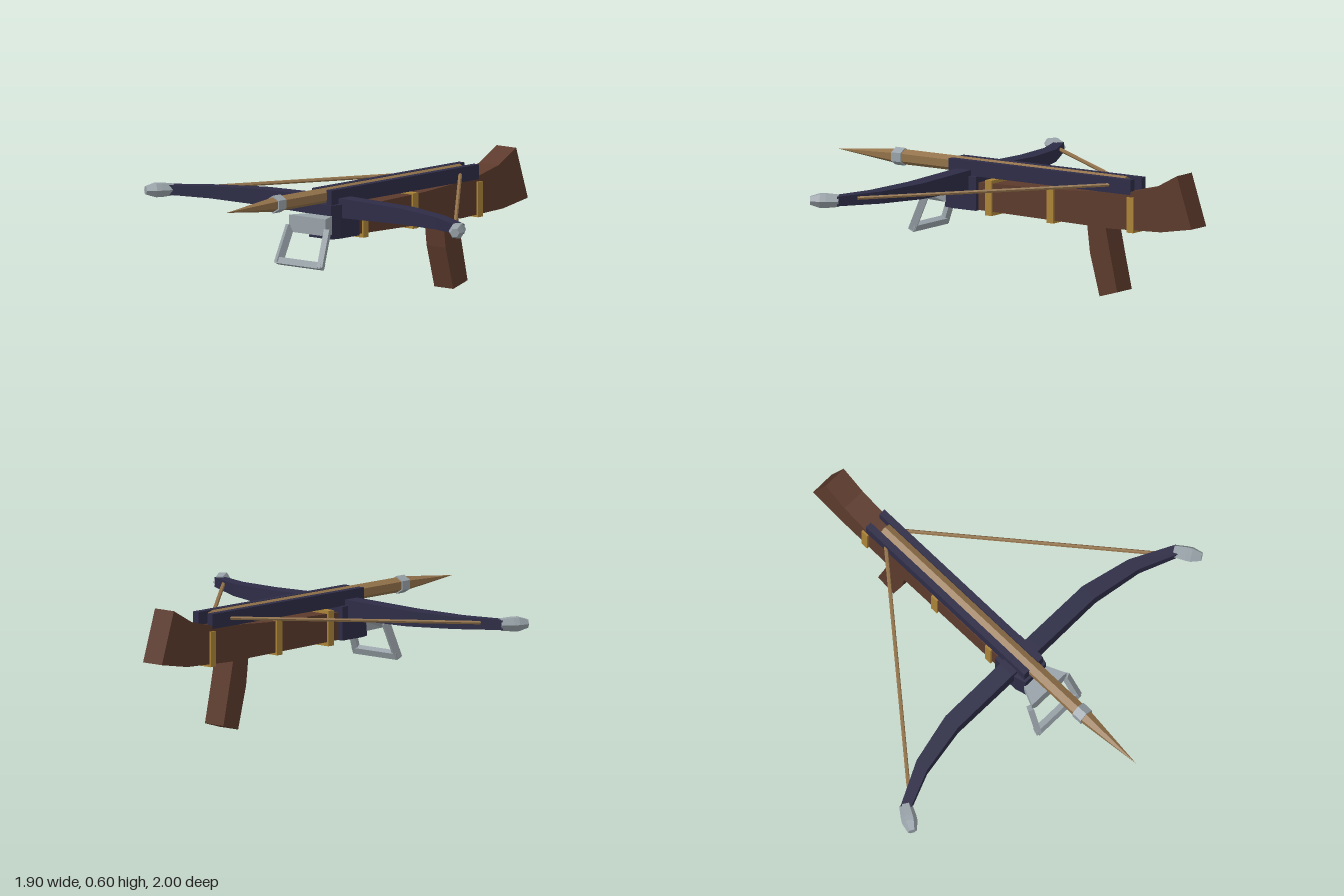
import * as THREE from 'three';

const paint = (name, color) => {
  const m = new THREE.MeshStandardMaterial({ color });
  m.name = name;
  m.flatShading = true;
  return m;
};

export function createModel() {
  const wood = paint('dark wood', 0x5c3a2c);
  const navy = paint('navy metal', 0x2d2c46);
  const steel = paint('steel', 0x98a2a8);
  const brass = paint('brass', 0xa98237);
  const tan = paint('pale wood', 0x92724a);

  const model = new THREE.Group();
  model.name = 'crossbow';
  const add = (name, geometry, material, x = 0, y = 0, z = 0) => {
    const mesh = new THREE.Mesh(geometry, material);
    mesh.name = name;
    mesh.position.set(x, y, z);
    model.add(mesh);
    return mesh;
  };

  // Side profile of [z, y] points, extruded across x
  const slab = (points, width) => {
    const shape = new THREE.Shape(points.map(([z, y]) => new THREE.Vector2(z, y)));
    return new THREE.ExtrudeGeometry(shape, { depth: width, bevelEnabled: false })
      .translate(0, 0, -width / 2).rotateY(-Math.PI / 2);
  };

  // Skin over rings of points, with both ends capped
  const loft = (rings) => {
    const pos = [], n = rings[0].length;
    const tri = (a, b, c) => pos.push(...a, ...b, ...c);
    for (let i = 0; i < rings.length - 1; i++) {
      for (let j = 0; j < n; j++) {
        const k = (j + 1) % n;
        tri(rings[i][j], rings[i][k], rings[i + 1][k]);
        tri(rings[i][j], rings[i + 1][k], rings[i + 1][j]);
      }
    }
    const first = rings[0], last = rings[rings.length - 1];
    for (let j = 1; j < n - 1; j++) {
      tri(first[0], first[j + 1], first[j]);
      tri(last[0], last[j], last[j + 1]);
    }
    const g = new THREE.BufferGeometry();
    g.setAttribute('position', new THREE.Float32BufferAttribute(pos, 3));
    g.computeVertexNormals();
    return g;
  };

  // Turn a y-aligned part so that it spans from a to b
  const span = (name, a, b, makeGeometry, material) => {
    const from = new THREE.Vector3(...a), to = new THREE.Vector3(...b);
    const dir = to.clone().sub(from);
    const mesh = add(name, makeGeometry(dir.length()), material);
    mesh.position.copy(from).add(to).multiplyScalar(0.5);
    mesh.quaternion.setFromUnitVectors(new THREE.Vector3(0, 1, 0), dir.normalize());
    return mesh;
  };

  // Stock and grip
  add('stock', slab([
    [0.2, 0.335], [0.2, 0.46], [-0.3, 0.473], [-0.64, 0.497], [-0.8, 0.535],
    [-0.92, 0.6], [-1, 0.362], [-0.83, 0.333], [-0.55, 0.322],
  ], 0.116), wood);
  add('grip', slab([
    [-0.42, 0.34], [-0.437, 0.2], [-0.49, 0.005], [-0.588, 0.033], [-0.548, 0.21], [-0.52, 0.34],
  ], 0.114), wood);

  // Brass bands round the stock
  for (const z of [0.12, -0.222, -0.665]) {
    add('band', new THREE.BoxGeometry(0.134, 0.162, 0.036), brass, 0, 0.396, z);
  }

  // Paired rails beside the bolt
  for (const s of [-1, 1]) {
    add('rail', new THREE.BoxGeometry(0.032, 0.068, 1.01), navy, s * 0.044, 0.521, -0.158);
  }

  // Block that holds the bow, narrowing to the front
  add('bowMount', loft([[0.18, 0.08], [0.31, 0.08], [0.36, 0.066]].map(([z, w]) => [
    [-w, 0.333, z], [w, 0.333, z], [w, 0.488, z], [-w, 0.488, z],
  ])), navy);

  // Bow: [x, back z, front z, half height], mirrored
  const half = [[0.09, 0.22, 0.3, 0.044], [0.44, 0.22, 0.3, 0.036],
    [0.68, 0.275, 0.342, 0.028], [0.885, 0.376, 0.376, 0.022]];
  const ring = ([x, back, front, h], s) => {
    const tip = x > 0.8; // tip is cut square to the curve
    const x2 = tip ? x - 0.025 : x, z2 = tip ? 0.416 : front;
    return [[s * x, 0.47 - h, back], [s * x, 0.47 + h, back],
      [s * x2, 0.47 + h, z2], [s * x2, 0.47 - h, z2]];
  };
  add('bow', loft([
    ...half.slice().reverse().map((p) => ring(p, -1)), ...half.map((p) => ring(p, 1)),
  ]), navy);

  // Steel bow tips and the drawn string
  for (const s of [-1, 1]) {
    span('bowTip', [s * 0.862, 0.47, 0.385], [s * 0.93, 0.47, 0.495], (len) =>
      new THREE.LatheGeometry([
        [0, -len / 2], [0.03, -len / 2], [0.036, -len * 0.05], [0.036, len * 0.15],
        [0.021, len / 2], [0, len / 2],
      ].map(([r, y]) => new THREE.Vector2(r, y)), 6), steel);
    span('string', [s * 0.79, 0.477, 0.332], [0, 0.525, -0.605],
      (len) => new THREE.CylinderGeometry(0.009, 0.009, len, 6), tan);
  }

  // Bolt: hexagonal shaft, collar and point
  const along = (g) => g.rotateX(Math.PI / 2);
  add('boltShaft', along(new THREE.CylinderGeometry(0.035, 0.035, 1.25, 6)), tan, 0, 0.525, 0.025);
  add('boltCollar', along(new THREE.CylinderGeometry(0.041, 0.041, 0.052, 6)), steel, 0, 0.525, 0.655);
  add('boltPoint', along(new THREE.CylinderGeometry(0, 0.036, 0.34, 6)), tan, 0, 0.525, 0.83);

  // Foot stirrup: flared bracket, two legs and a crossbar
  add('stirrupBracket', loft([[0.355, 0.07, 0.068, 0.355], [0.445, 0.11, 0.085, 0.362]].map(
    ([z, w, low, bottom]) => [
      [-low, bottom, z], [low, bottom, z], [w, 0.395, z],
      [w, 0.44, z], [-w, 0.44, z], [-w, 0.395, z],
    ])), steel);
  for (const s of [-1, 1]) {
    span('stirrupLeg', [s * 0.112, 0.39, 0.435], [s * 0.126, 0.225, 0.5],
      (len) => new THREE.BoxGeometry(0.026, len, 0.034), steel);
  }
  const bar = add('stirrupBar', new THREE.BoxGeometry(0.27, 0.03, 0.032), steel, 0, 0.233, 0.496);
  bar.rotation.x = -0.38;

  return model;
}
